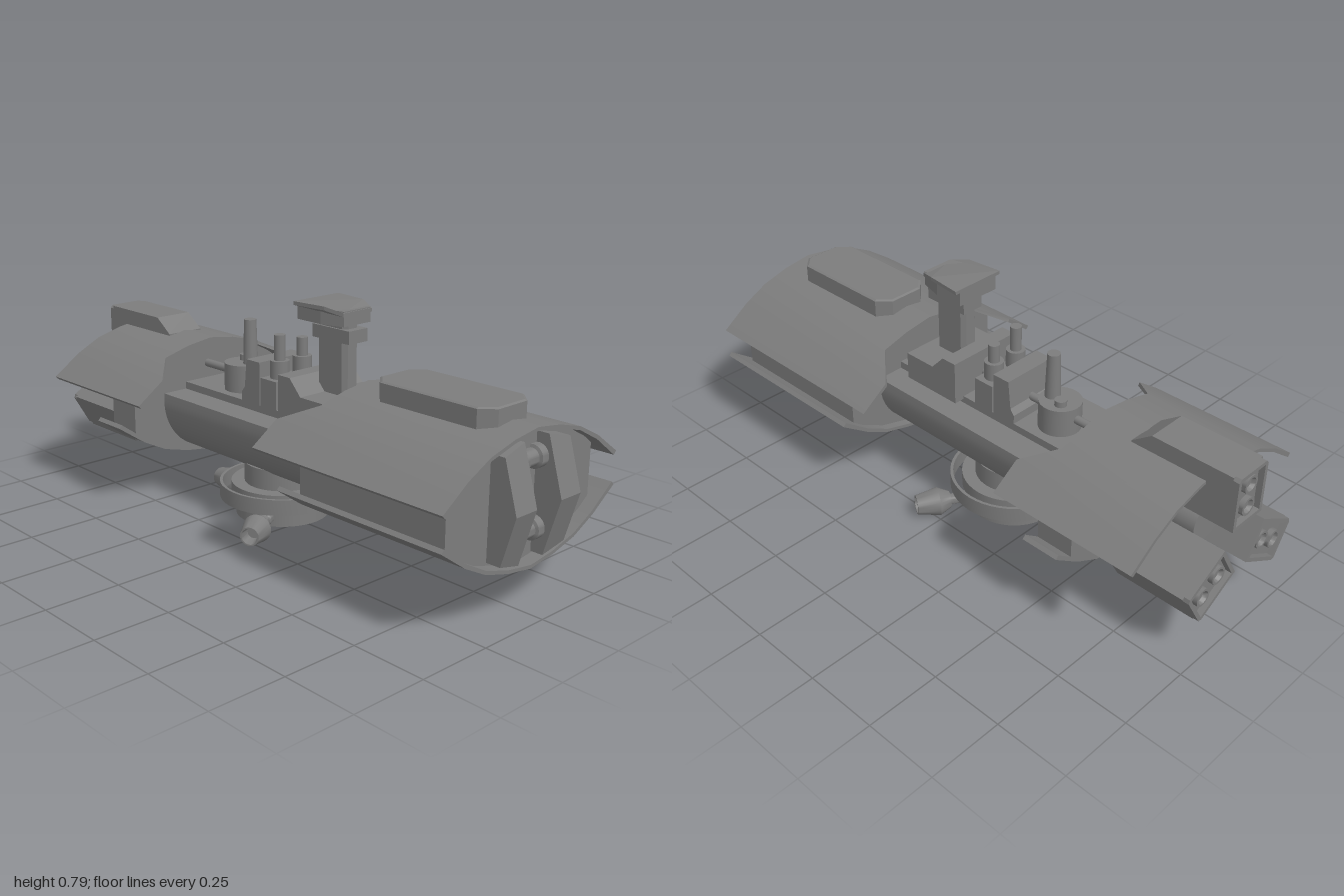
import * as THREE from 'three';
import { toCreasedNormals } from 'three/addons/utils/BufferGeometryUtils.js';

const MID = 0.349; // height of the long axis
const ARC = [[0, 0.209], [0.1, 0.195], [0.2, 0.168], [0.29, 0.122], [0.388, 0.053]];
const mat = new THREE.MeshStandardMaterial({ color: 0x7c7c7c });

function add(parent, name, geo, x = 0, y = 0, z = 0) {
  const m = new THREE.Mesh(geo, mat);
  m.name = name;
  m.position.set(x, y, z);
  parent.add(m);
  return m;
}
const crease = (g, a = 0.55) => toCreasedNormals(g, a);
const shapeOf = pts => new THREE.Shape(pts.map(p => new THREE.Vector2(p[0], p[1])));

// (x, y) outline drawn along z
function alongZ(shape, z0, z1) {
  return crease(new THREE.ExtrudeGeometry(shape, { depth: z1 - z0, bevelEnabled: false }).translate(0, 0, z0));
}
// (z, y) outline drawn across x
function alongX(pts, x0, x1) {
  const g = new THREE.ExtrudeGeometry(shapeOf(pts), { depth: x1 - x0, bevelEnabled: false });
  return g.rotateY(-Math.PI / 2).translate(x1, 0, 0);
}
// (x, z) outline drawn upward
function alongY(pts, y0, y1) {
  const g = new THREE.ExtrudeGeometry(shapeOf(pts), { depth: y1 - y0, bevelEnabled: false });
  return g.rotateX(Math.PI / 2).translate(0, y1, 0);
}
// rectangle with cut corners
const cutRect = (w, z0, z1, c) => [[-w, z0 + c], [-w + c, z0], [w - c, z0], [w, z0 + c],
  [w, z1 - c], [w - c, z1], [-w + c, z1], [-w, z1 - c]];
const box = (x0, x1, y0, y1, z0, z1) =>
  new THREE.BoxGeometry(x1 - x0, y1 - y0, z1 - z0).translate((x0 + x1) / 2, (y0 + y1) / 2, (z0 + z1) / 2);
// upright cylinder between two heights
const post = (r0, r1, y0, y1, n = 24) => new THREE.CylinderGeometry(r1, r0, y1 - y0, n).translate(0, (y0 + y1) / 2, 0);
const lathe = (pts, n = 24) => crease(new THREE.LatheGeometry(pts.map(p => new THREE.Vector2(p[0], p[1])), n));

// arched plate; ends(|x|) returns its two z limits
function shell(parent, name, ends, flip) {
  const g = new THREE.BoxGeometry(8, 1, 1, 8, 1, 1);
  const p = g.attributes.position;
  for (let i = 0; i < p.count; i++) {
    const k = Math.round(p.getX(i)), s = Math.sign(k);
    const [x, y] = ARC[Math.abs(k)];
    const inner = p.getY(i) < 0;
    const z = ends(x);
    p.setXYZ(i, s * (inner ? x - 0.07 * x * x : x), y - (inner ? 0.011 : 0), p.getZ(i) < 0 ? z[0] : z[1]);
  }
  const m = add(parent, name, crease(g), 0, MID, 0);
  if (flip) m.rotation.z = Math.PI;
}

// lens-shaped filling between the shells
function lens() {
  const q = [[0.322, 0.05], [0.322, 0.09], [0.29, 0.111], [0.2, 0.157], [0.1, 0.184], [0, 0.198]];
  const top = [...q, ...q.slice(0, -1).reverse().map(([x, y]) => [-x, y])];
  return shapeOf([...top, ...top.map(([x, y]) => [-x, -y])].map(([x, y]) => [x, y + MID]));
}

function hull(g) {
  const notch = (wide, narrow, x) => (x > 0.25 ? wide : narrow);
  shell(g, 'frontUpperShell', x => [notch(0.2, 0.3, x), 0.95]);
  shell(g, 'frontLowerShell', () => [0.31, 0.95], true);
  shell(g, 'rearUpperShell', x => [-0.895, notch(-0.38, -0.48, x)]);
  shell(g, 'rearLowerShell', () => [-0.63, -0.5], true);
  add(g, 'frontBlock', alongZ(lens(), 0.34, 0.905));
  add(g, 'rearBlock', alongZ(lens(), -0.63, -0.5));

  // half-round spine with a flat deck
  const spine = new THREE.Shape();
  spine.absarc(0, 0.355, 0.197, Math.PI - 0.15, 2 * Math.PI + 0.15, false);
  add(g, 'spine', alongZ(spine, -0.5, 0.34));
  add(g, 'deckStrip', box(-0.1, 0.1, 0.38, 0.41, -0.5, 0.34));
  add(g, 'rearHub', new THREE.CylinderGeometry(0.065, 0.065, 0.25, 24).rotateX(Math.PI / 2), 0, MID, -0.745);

  // raised hatch with a thin bevel
  const hatch = new THREE.ExtrudeGeometry(shapeOf(cutRect(0.098, 0.417, 0.853, 0.038)),
    { depth: 0.07, bevelThickness: 0.004, bevelSize: 0.007, bevelSegments: 1 });
  add(g, 'hatch', hatch.rotateX(Math.PI / 2), 0, 0.601, 0);
}

// pair of wedge jaws joined by two flanged pins
function nose(g) {
  const side = [[0.88, 0.175], [0.95, 0.175], [1, 0.345], [0.95, 0.515], [0.88, 0.515]];
  for (const s of [-1, 1]) {
    const jaw = alongX(side, Math.min(s * 0.055, s * 0.145), Math.max(s * 0.055, s * 0.145));
    const p = jaw.attributes.position;
    // slant the ends to follow the shells, keeping the wedge faces flat
    for (let i = 0; i < p.count; i++) {
      const y = p.getY(i) - 0.345;
      if (Math.abs(y) < 0.1) continue;
      const d = (0.1 - Math.abs(p.getX(i))) * 0.25;
      p.setY(i, p.getY(i) + Math.sign(y) * d);
      if (p.getZ(i) > 0.9) p.setZ(i, p.getZ(i) - d * 0.05 / 0.17);
    }
    jaw.computeVertexNormals();
    add(g, 'noseJaw', jaw);
  }
  const pin = lathe([[0, -0.056], [0.036, -0.056], [0.036, -0.028], [0.027, -0.024],
    [0.027, 0.024], [0.036, 0.028], [0.036, 0.056], [0, 0.056]]).rotateZ(Math.PI / 2);
  for (const y of [0.243, 0.458]) add(g, 'nosePin', pin, 0, y, 0.914);
}

// three thruster boxes spaced around the long axis
function thrusters(g) {
  for (let i = 0; i < 3; i++) {
    const t = new THREE.Group();
    t.name = 'thruster';
    t.position.y = MID;
    t.rotation.z = i * Math.PI * 2 / 3;
    g.add(t);
    add(t, 'thrusterBody', alongX([[-0.98, 0.072], [-0.63, 0.072], [-0.63, 0.205], [-0.7, 0.255], [-0.98, 0.255]], -0.07, 0.07));
    const frame = shapeOf([[-0.07, 0.072], [0.07, 0.072], [0.07, 0.245], [0.06, 0.255], [-0.06, 0.255], [-0.07, 0.245]]);
    frame.holes.push(new THREE.Path([[-0.057, 0.085], [-0.057, 0.242], [0.057, 0.242], [0.057, 0.085]].map(p => new THREE.Vector2(...p))));
    add(t, 'thrusterFrame', alongZ(frame, -1, -0.98));
    for (const y of [0.125, 0.203]) {
      const n = lathe([[0, 0], [0.03, 0], [0.03, 0.018], [0.022, 0.018], [0.016, 0.006], [0, 0.006]]);
      add(t, 'thrusterNozzle', n.rotateX(-Math.PI / 2), 0, y, -0.979);
    }
  }
}

// sighting tower, consoles and mast on the deck
function deck(g) {
  add(g, 'towerBase', alongX([[0.26, 0.4], [0.26, 0.495], [0.14, 0.495], [0.09, 0.548], [0.035, 0.548], [0.035, 0.4]], -0.138, 0.138));
  add(g, 'towerColumn', alongY(cutRect(0.033, 0.1, 0.23, 0.014), 0.48, 0.74));
  add(g, 'towerCollar', box(-0.04, 0.04, 0.668, 0.71, 0.09, 0.255));
  add(g, 'towerHead', alongY([[-0.08, 0.065], [0.08, 0.065], [0.08, 0.17], [0.058, 0.25], [-0.058, 0.25], [-0.08, 0.17]], 0.726, 0.774));
  // lid dips toward the front
  const lid = alongY([[-0.098, 0.065], [0.098, 0.065], [0.085, 0.19], [0.062, 0.252], [-0.062, 0.252], [-0.085, 0.19]], 0.773, 0.785);
  const p = lid.attributes.position;
  for (let i = 0; i < p.count; i++) if (p.getZ(i) > 0.2) p.setY(i, p.getY(i) - 0.015);
  lid.computeVertexNormals();
  add(g, 'towerLid', lid);

  add(g, 'consoleFront', box(-0.1, 0.1, 0.4, 0.505, -0.095, -0.018));
  add(g, 'consoleRear', alongX([[-0.1, 0.4], [-0.1, 0.555], [-0.165, 0.555], [-0.175, 0.46], [-0.19, 0.44], [-0.19, 0.4]], -0.1, 0.1));
  for (const [x, top] of [[-0.05, 0.65], [0.05, 0.627]]) {
    add(g, 'canisterFoot', post(0.032, 0.032, 0.5, 0.565), x, 0, -0.055);
    add(g, 'canister', post(0.019, 0.019, 0.56, top), x, 0, -0.055);
  }
  add(g, 'mastFoot', post(0.07, 0.07, 0.4, 0.505, 32), 0, 0, -0.295);
  add(g, 'mast', post(0.026, 0.021, 0.5, 0.66), 0, 0, -0.262);
  add(g, 'mastKnob', post(0.02, 0.02, 0.5, 0.525), 0.022, 0, -0.315);
  add(g, 'deckPipe', new THREE.CylinderGeometry(0.014, 0.014, 0.55, 16).rotateX(Math.PI / 2), 0, 0.462, -0.225);
}

// round mount below the spine with three nozzles
function mount(g) {
  const m = new THREE.Group();
  m.name = 'mount';
  m.position.z = -0.1;
  g.add(m);
  add(m, 'mountNeck', post(0.13, 0.13, 0.12, 0.2, 48));
  add(m, 'mountDisc', post(0.175, 0.175, 0.08, 0.13, 48));
  add(m, 'mountRing', lathe([[0.205, 0.076], [0.215, 0.076], [0.215, 0.13], [0.205, 0.13], [0.205, 0.076]], 48));
  add(m, 'mountDrum', post(0.16, 0.16, 0.015, 0.09, 48));
  const nozzle = lathe([[0, 0.13], [0.022, 0.13], [0.022, 0.185], [0.018, 0.19], [0.018, 0.225], [0.028, 0.225],
    [0.048, 0.265], [0.032, 0.34], [0.027, 0.34], [0.02, 0.3], [0, 0.3]]).rotateX(Math.PI / 2);
  for (let i = 0; i < 3; i++) {
    const arm = add(m, 'nozzleArm', nozzle, 0, 0.048, 0);
    arm.rotation.y = Math.PI + i * Math.PI * 2 / 3;
  }
}

export function createModel() {
  const g = new THREE.Group();
  g.name = 'spaceCraft';
  hull(g);
  nose(g);
  thrusters(g);
  deck(g);
  mount(g);
  return g;
}
